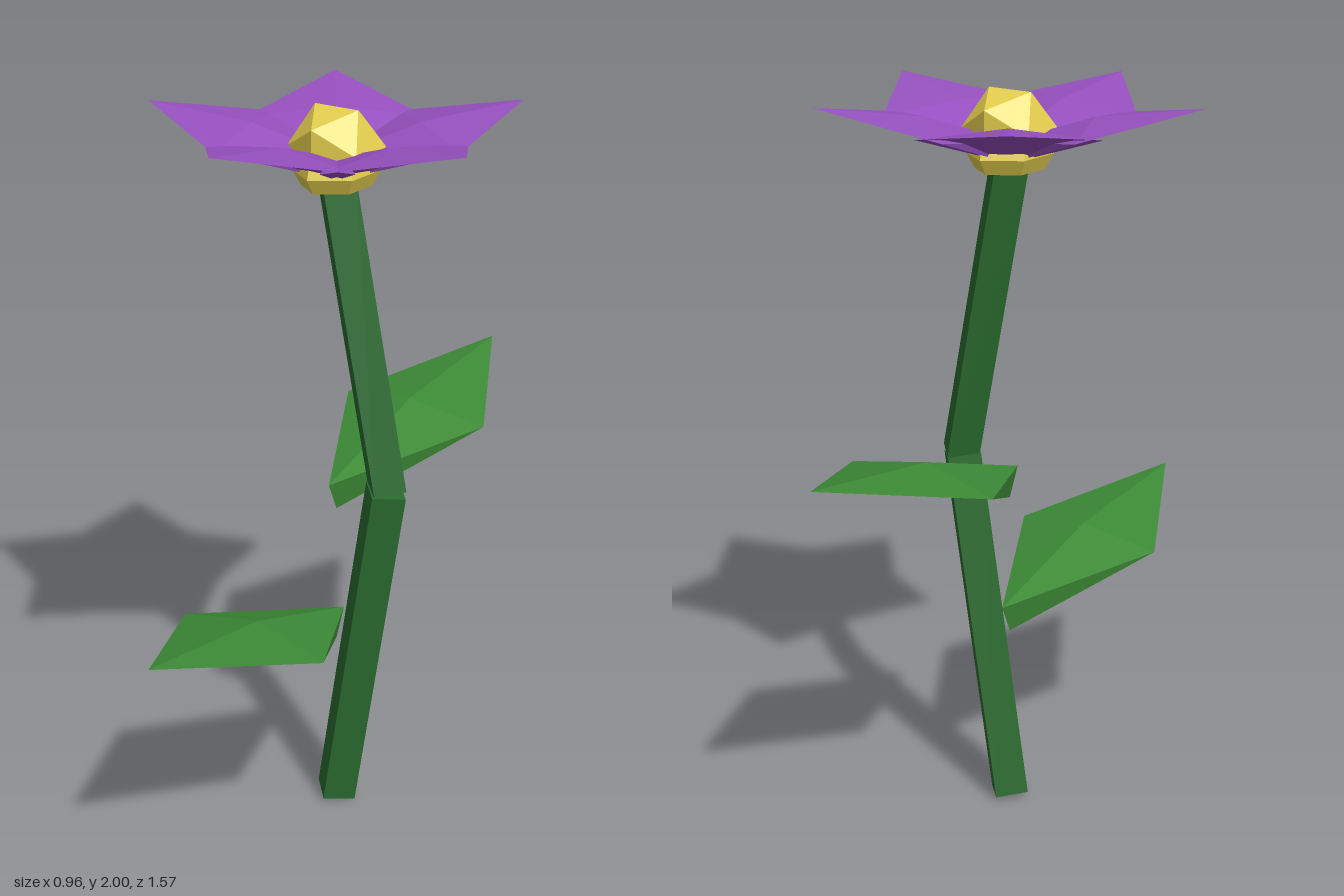
import * as THREE from 'three';

const material = (color) => new THREE.MeshStandardMaterial({ color, flatShading: true });

// Folded blade pointing along +z: raised rib, two wing corners, hollowed underside
function bladeGeometry() {
  const tip = [0, 0.77, 0.785], rib = [0, 0.715, 0.35], under = [0, 0.67, 0.37];
  const top = [0, 0.59, -0.035], base = [0, 0.51, 0];
  const points = [];
  for (const side of [1, -1]) {
    const wing = [0.227 * side, 0.675, 0.375];
    const faces = [[top, rib, wing], [rib, tip, wing], [top, wing, base], [base, wing, under], [wing, tip, under]];
    for (const [a, b, c] of faces) points.push(...(side > 0 ? [a, b, c] : [a, c, b]).flat());
  }
  const geometry = new THREE.BufferGeometry();
  geometry.setAttribute('position', new THREE.Float32BufferAttribute(points, 3));
  geometry.computeVertexNormals();
  return geometry;
}

// Four-sided rod between two points
function rod(name, from, to, radius, mat) {
  const a = new THREE.Vector3(...from), b = new THREE.Vector3(...to);
  const direction = b.clone().sub(a);
  const mesh = new THREE.Mesh(new THREE.CylinderGeometry(radius, radius, direction.length(), 4), mat);
  mesh.name = name;
  mesh.quaternion.setFromUnitVectors(new THREE.Vector3(0, 1, 0), direction.normalize());
  mesh.position.copy(a).add(b).multiplyScalar(0.5);
  return mesh;
}

export function createModel() {
  const model = new THREE.Group();
  model.name = 'flower';
  const stemMat = material(0x2a6b2f), leafMat = material(0x3c8a36);
  const petalMat = material(0x9650bf), centreMat = material(0xe6d04f);
  const blade = bladeGeometry();

  // Bent stem
  model.add(rod('lowerStem', [0, 0.014, 0], [0.16, 1, 0], 0.064, stemMat));
  model.add(rod('upperStem', [0.165, 1, 0], [0, 1.82, 0], 0.061, stemMat));

  // Two leaves, front and back
  const frontLeaf = new THREE.Mesh(blade, leafMat);
  frontLeaf.name = 'frontLeaf';
  const backLeaf = new THREE.Mesh(blade, leafMat);
  backLeaf.name = 'backLeaf';
  backLeaf.rotation.y = Math.PI;
  backLeaf.position.y = 0.395;
  model.add(frontLeaf, backLeaf);

  // Five overlapping petals, shorter blades around the centre
  const petals = new THREE.Group();
  petals.name = 'petals';
  for (let i = 0; i < 5; i++) {
    const petal = new THREE.Mesh(blade, petalMat);
    petal.name = 'petal';
    petal.scale.set(1, 0.64, 0.64);
    petal.position.y = 1.487;
    petal.rotation.y = (i * Math.PI * 2) / 5;
    petals.add(petal);
  }
  model.add(petals);

  // Faceted centre above the petals
  const centre = new THREE.Mesh(new THREE.IcosahedronGeometry(0.125, 0), centreMat);
  centre.name = 'flowerCentre';
  centre.scale.y = 0.94;
  centre.position.y = 1.9;
  model.add(centre);

  // Faceted cup below the petals
  const profile = [[0, 1.8], [0.1, 1.8], [0.125, 1.84], [0.11, 1.89], [0, 1.9]];
  const cup = new THREE.Mesh(
    new THREE.LatheGeometry(profile.map(([r, y]) => new THREE.Vector2(r, y)), 6), centreMat);
  cup.name = 'flowerCup';
  cup.scale.x = 0.85;
  model.add(cup);

  return model;
}
